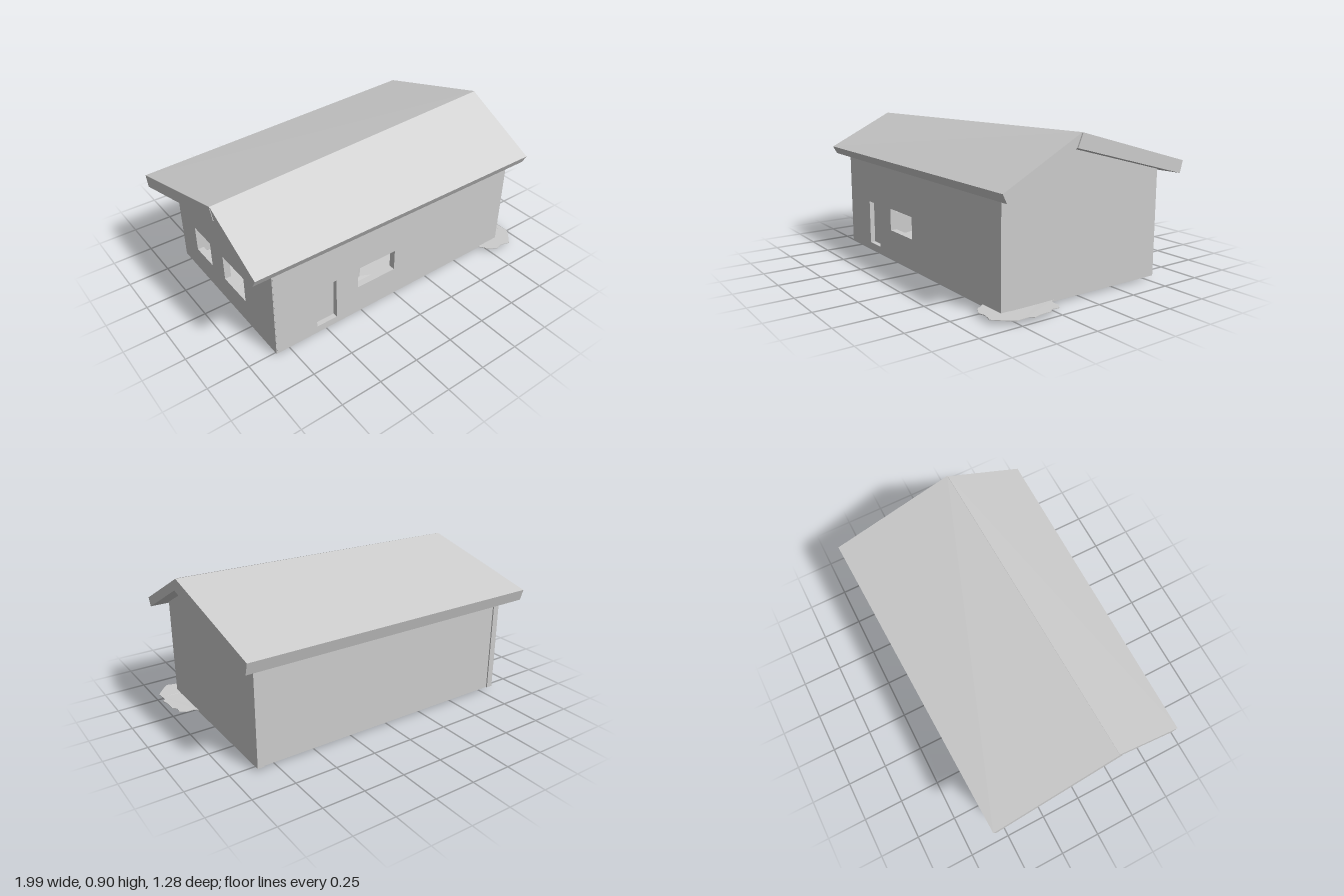
import * as THREE from 'three';
import { ConvexGeometry } from 'three/addons/geometries/ConvexGeometry.js';

export function createModel() {
  const house = new THREE.Group();
  house.name = 'house';
  const grey = new THREE.MeshStandardMaterial({ color: 0xcccccc, side: THREE.DoubleSide });
  grey.name = 'plain grey';

  const add = (name, geometry) => {
    const mesh = new THREE.Mesh(geometry, grey);
    mesh.name = name;
    house.add(mesh);
    return mesh;
  };
  const outline = (pts) => new THREE.Shape(pts.map(([x, y]) => new THREE.Vector2(x, y)));
  const opening = (x0, x1, y0, y1) => outline([[x0, y0], [x0, y1], [x1, y1], [x1, y0]]);

  const T = 0.04; // wall thickness
  const BASE = 0.015;
  const wall = (name, pts, holes = []) => {
    const shape = outline(pts);
    shape.holes.push(...holes);
    return add(name, new THREE.ExtrudeGeometry(shape, { depth: T, bevelEnabled: false }));
  };

  // Long walls: the front has a door recess and a window, the back is blank
  wall('frontWall', [[-0.835, BASE], [0.86, BASE], [0.86, 0.625], [-0.835, 0.62]], [
    opening(-0.57, -0.435, 0.06, 0.33),
    opening(-0.285, -0.02, 0.2, 0.335),
  ]).position.z = 0.525 - T;
  wall('backWall', [[-0.82, BASE], [0.84, BASE], [0.84, 0.645], [-0.82, 0.6]]).position.z = -0.542;

  // Door panel at the back of its recess
  const door = add('door', new THREE.BoxGeometry(0.145, 0.28, 0.01));
  door.position.set(-0.5025, 0.195, 0.49);

  // Gable walls, drawn with horizontal axis -z and turned to face sideways
  const gable = (name, x, backTop, ridgeZ, ridgeY, holes) => {
    const mesh = wall(name, [
      [-0.524, BASE], [0.55, BASE], [0.55, backTop], [-ridgeZ, ridgeY], [-0.524, 0.622],
    ], holes);
    mesh.rotation.y = Math.PI / 2;
    mesh.position.x = x;
  };
  gable('leftGableWall', 0.86 - T, 0.645, 0.143, 0.825, []);
  gable('rightGableWall', -0.84, 0.595, 0.2, 0.79, [
    opening(0.17, 0.36, 0.17, 0.335),
    opening(-0.215, 0.02, 0.17, 0.335),
  ]);

  // Roof slabs, each spanned between two end cross-sections (ridge skewed)
  const slab = (name, ...corners) =>
    add(name, new ConvexGeometry(corners.map((c) => new THREE.Vector3(...c))));
  slab('backRoof',
    [-0.97, 0.85, 0.175], [-1, 0.65, -0.595], [-1, 0.58, -0.575], [-0.97, 0.78, 0.205],
    [0.965, 0.895, 0.108], [0.945, 0.685, -0.66], [0.945, 0.615, -0.64], [0.965, 0.82, 0.14]);
  slab('frontRoof',
    [-0.968, 0.85, 0.176], [-0.968, 0.645, 0.59], [-0.968, 0.598, 0.565], [-0.968, 0.782, 0.206],
    [0.96, 0.896, 0.11], [0.96, 0.645, 0.59], [0.96, 0.595, 0.565], [0.96, 0.82, 0.142]);

  // Slanted inner partition
  const partition = add('partition', new THREE.BoxGeometry(0.02, 0.55, 0.8));
  partition.position.set(-0.06, 0.3, -0.1);
  partition.rotation.y = -0.11;

  // Ragged ground sheet that spills out under one corner, outline in x and z
  const edge = [
    [-0.79, -0.5], [0.62, -0.5], [0.72, -0.38], [0.75, -0.15], [0.82, 0.02], [0.86, 0.2],
    [0.96, 0.24], [0.99, 0.38], [0.97, 0.54], [0.9, 0.61], [0.8, 0.61], [0.73, 0.58],
    [0.7, 0.49], [0.3, 0.48], [-0.3, 0.49], [-0.76, 0.46], [-0.79, 0.1],
  ];
  const ragged = [];
  edge.forEach(([x0, z0], i) => {
    const [x1, z1] = edge[(i + 1) % edge.length];
    const steps = Math.max(3, Math.round(Math.hypot(x1 - x0, z1 - z0) / 0.035));
    for (let k = 0; k < steps; k++) {
      const t = k / steps;
      const n = ragged.length;
      ragged.push([
        x0 + (x1 - x0) * t + 0.009 * Math.sin(n * 2.3),
        -(z0 + (z1 - z0) * t) + 0.009 * Math.sin(n * 1.7 + 1),
      ]);
    }
  });
  const sheet = new THREE.ExtrudeGeometry(outline(ragged), { depth: 0.004, bevelEnabled: false });
  sheet.rotateX(-Math.PI / 2);
  const p = sheet.attributes.position;
  for (let i = 0; i < p.count; i++) {
    const x = p.getX(i);
    const dip = Math.exp(-(((x - 0.15) / 0.2) ** 2));
    p.setY(i, p.getY(i) + 0.017 + 0.005 * Math.max(0, x) - 0.018 * dip);
  }
  sheet.computeVertexNormals();
  add('groundSheet', sheet);

  return house;
}
